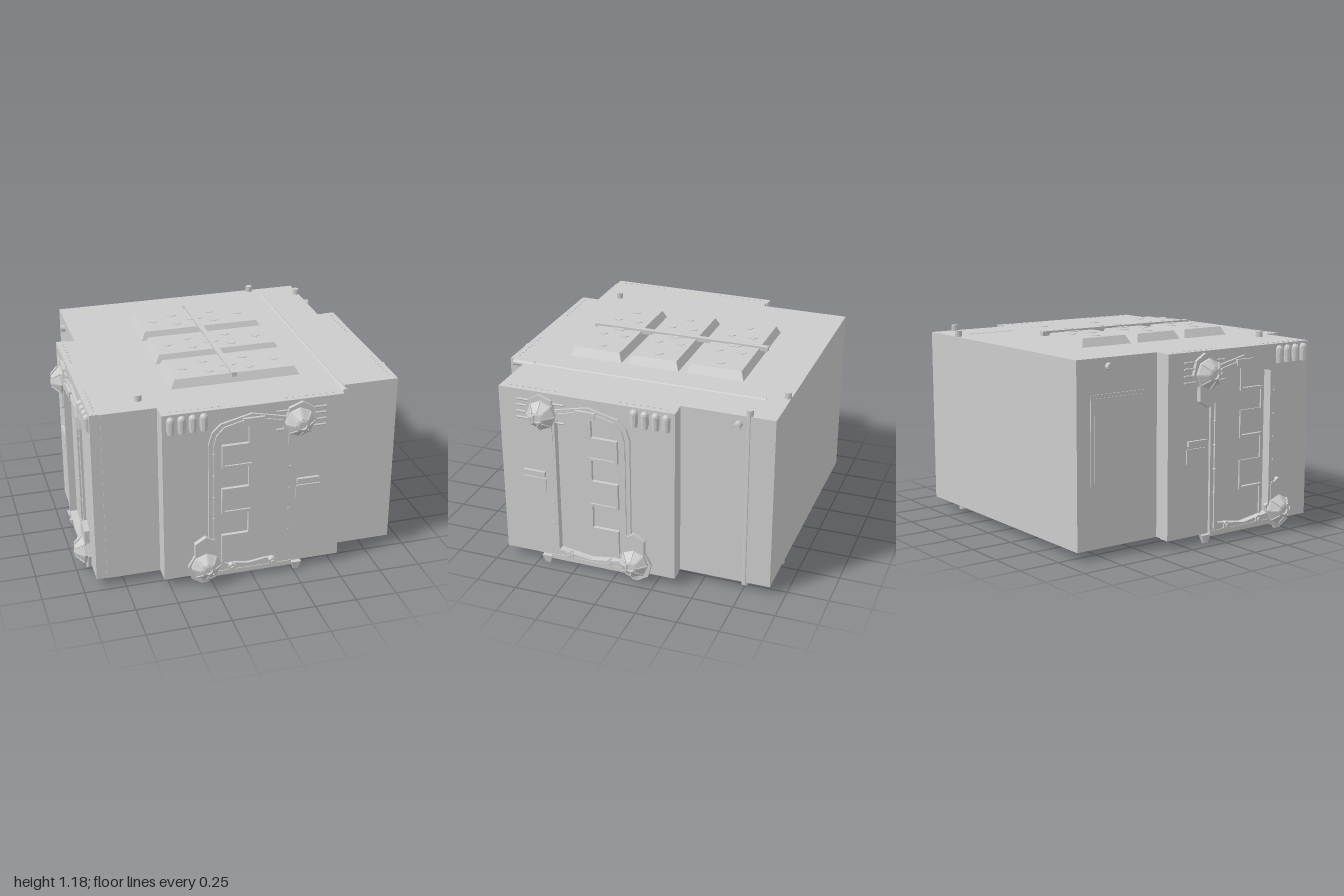
import * as THREE from 'three';

const grey = new THREE.MeshStandardMaterial({ color: 0xcccccc, flatShading: true });
const Y0 = 0.06, Y1 = 1.13; // underside and roof heights

function add(parent, name, geo, x = 0, y = 0, z = 0) {
  const m = new THREE.Mesh(geo, grey);
  m.name = name;
  m.position.set(x, y, z);
  parent.add(m);
  return m;
}

// Box given by its limits on each axis
function block(parent, name, x0, x1, y0, y1, z0, z1) {
  return add(parent, name, new THREE.BoxGeometry(Math.abs(x1 - x0), y1 - y0, z1 - z0),
    (x0 + x1) / 2, (y0 + y1) / 2, (z0 + z1) / 2);
}

// Rod along an axis between a and b
function rod(parent, name, axis, a, b, r, p, q, sides = 10) {
  const g = new THREE.CylinderGeometry(r, r, b - a, sides), c = (a + b) / 2;
  if (axis === 'x') return add(parent, name, g.rotateZ(Math.PI / 2), c, p, q);
  if (axis === 'z') return add(parent, name, g.rotateX(Math.PI / 2), p, q, c);
  return add(parent, name, g, p, c, q);
}

const outer = [[-0.27, 0.07], [-0.27, 0.92], [-0.25, 0.99], [-0.2, 1.04], [-0.015, 1.085],
  [0.185, 1.04], [0.22, 0.99], [0.24, 0.92], [0.24, 0.07]];
const inner = [[-0.21, 0.12], [-0.21, 0.98], [-0.015, 1.02], [0.185, 0.98], [0.185, 0.12], [-0.015, 0.09]];
// Stepped joint between the two halves of the door
const joint = [[-0.015, 1.02], [-0.015, 0.88], [-0.175, 0.88], [-0.175, 0.75], [-0.015, 0.75], [-0.015, 0.6],
  [-0.175, 0.6], [-0.175, 0.45], [-0.015, 0.45], [-0.015, 0.29], [-0.175, 0.29], [-0.175, 0.113]];

// Door wall: local z = 0 is its outer face; s = -1 mirrors it left to right
function doorWall(name, s) {
  const g = new THREE.Group();
  g.name = name;
  const pts = a => a.map(([u, y]) => new THREE.Vector2(u * s, y));
  const slabOf = (part, outline, z0, z1, hole) => {
    const shape = new THREE.Shape(pts(outline));
    if (hole) shape.holes.push(new THREE.Path(pts(hole)));
    add(g, part, new THREE.ExtrudeGeometry(shape, { depth: z1 - z0, bevelEnabled: false }), 0, 0, z0);
  };
  const box = (part, u0, u1, y0, y1, z0, z1) => block(g, part, u0 * s, u1 * s, y0, y1, z0, z1);

  slabOf('wallPanel', [[-0.535, Y0], [-0.535, Y1], [0.54, Y1], [0.54, Y0]], -0.065, 0, inner);
  slabOf('doorFrame', outer, 0, 0.015, inner);
  slabOf('doorRim', outer.map(([u, y]) => [(u + 0.015) * 0.9 - 0.015, 0.56 + (y - 0.56) * 0.965]), 0.015, 0.025, inner);
  slabOf('doorLeaf', inner, -0.06, -0.03);
  slabOf('doorToothedHalf', [...joint, [-0.015, 0.09], [0.185, 0.12], [0.185, 0.98]], -0.03, -0.018);

  // Raised strip following the joint
  for (let i = 0; i < joint.length - 1; i++) {
    const [a, b] = joint[i], [c, d] = joint[i + 1], w = 0.008;
    box('jointStrip', Math.min(a, c) - w, Math.max(a, c) + w, Math.min(b, d) - w, Math.max(b, d) + w, -0.03, -0.008);
  }

  // Door furniture
  box('doorPlaque', -0.07, 0.055, 1.03, 1.065, 0.01, 0.032);
  box('handleBar', 0.265, 0.4, 0.592, 0.622, 0, 0.018);
  box('controlPlate', 0.262, 0.408, 0.49, 0.575, 0, 0.008);
  box('threshold', -0.25, 0.24, 0.045, 0.075, -0.06, 0.02);
  for (const u of [-0.13, 0.12]) {
    rod(g, 'thresholdBolt', 'z', 0, 0.032, 0.026, u * s, 0.092, 6);
    rod(g, 'thresholdBoltTip', 'z', 0.03, 0.042, 0.013, u * s, 0.092, 6);
  }
  for (let i = 0; i < 5; i++) for (const u of [-0.24, 0.213])
    rod(g, 'frameRivet', 'z', 0.01, 0.03, 0.008, u * s, 0.3 + i * 0.14, 6);

  // Row of capsule vents
  for (let i = 0; i < 4; i++) {
    const u = (-0.487 + i * 0.064) * s;
    rod(g, 'vent', 'y', 1.035, 1.095, 0.024, u, 0.004);
    add(g, 'ventCap', new THREE.SphereGeometry(0.024, 10, 6), u, 1.095, 0.004);
    rod(g, 'ventBase', 'y', 1.015, 1.035, 0.02, u, 0.004);
  }

  // Corner bolts with shield plates
  for (const [u, y, d] of [[0.265, 1.0, -1], [-0.29, 0.13, 1]]) {
    const shield = [[-0.065, 0], [-0.065, 0.155], [0, 0.195], [0.065, 0.155], [0.065, 0]];
    slabOf('boltShield', shield.map(([a, b]) => [u + a, y + b * d]), 0, 0.03);
    slabOf('boltCollar', [[-0.095, 0.03], [-0.06, -0.09], [0.02, -0.12], [0.085, -0.08], [0.105, 0], [0.06, 0.08], [-0.03, 0.09]]
      .map(([a, b]) => [u - a * d, y + b * d]), 0, 0.02);
    const dome = [[0.09, 0.01], [0.088, 0.035], [0.04, 0.08], [0.026, 0.085], [0.022, 0.075], [0, 0.075]]
      .map(p => new THREE.Vector2(...p));
    add(g, 'boltDome', new THREE.LatheGeometry(dome, 8).rotateX(Math.PI / 2), u * s, y, 0);
    for (let i = 0; i < 8; i++) {
      const spoke = add(g, 'boltRib', new THREE.BoxGeometry(0.062, 0.008, 0.01)
        .rotateY(Math.atan2(0.045, 0.048)).translate(0.064, 0, 0.058), u * s, y, 0);
      spoke.rotation.z = i * Math.PI / 4 + Math.PI / 2;
    }
  }
  for (const y of [1.072, 1.035, 0.995, 0.957]) rod(g, 'boltRod', 'x', (s > 0 ? 0.13 : -0.43), (s > 0 ? 0.43 : -0.13), 0.006, y, 0.006, 6);

  // Wedge feet under the wall
  for (const u of [0.27, -0.29]) for (const z of [0.01, -0.15]) {
    const foot = add(g, 'wedgeFoot', new THREE.CylinderGeometry(0.045, 0.022, 0.05, 4).rotateY(Math.PI / 4), u * s, 0.035, z);
    foot.scale.z = 0.55;
  }

  // Rivets along the roof edge
  for (let i = 0; i < 16; i++) {
    const u = i < 8 ? -0.48 + i * 0.04 : 0.2 + (i - 8) * 0.04;
    rod(g, 'edgeRivet', 'y', Y1 - 0.01, Y1 + 0.004, 0.006, u * s, -0.035, 6);
  }
  return g;
}

// Roof panel with sloping sides
function roofPanel(parent, z0, z1) {
  const geo = new THREE.BoxGeometry(0.78, 0.05, z1 - z0 + 0.02), p = geo.attributes.position;
  for (let i = 0; i < p.count; i++) if (p.getY(i) > 0) {
    p.setX(i, p.getX(i) - Math.sign(p.getX(i)) * 0.028);
    p.setZ(i, p.getZ(i) - Math.sign(p.getZ(i)) * 0.022);
  }
  const zc = (z0 + z1) / 2;
  add(parent, 'roofPanel', geo, -0.01, Y1 + 0.025, zc);
  const studs = [[-0.29, 0, 0.03], [-0.15, -0.07, 0.03], [-0.15, 0.07, 0.03], [-0.02, 0, 0.055],
    [0.095, -0.07, 0.03], [0.095, 0.07, 0.03], [0.27, 0, 0.03]];
  for (const [x, z, r] of studs) rod(parent, 'roofStud', 'y', Y1 + 0.045, Y1 + 0.053, r, x, zc + z, 6);
}

export function createModel() {
  const model = new THREE.Group();
  model.name = 'shelterModule';

  // Main body
  block(model, 'rearBody', -0.803, 0.807, Y0, Y1, -0.91, -0.36);
  block(model, 'middleBody', -0.857, 0.855, Y0, Y1, -0.36, 0.71);
  block(model, 'frontBody', -0.535, 0.54, Y0, Y1, 0.71, 0.758);

  // Three door walls
  const front = doorWall('frontDoorWall', 1);
  front.position.z = 0.82;
  const left = doorWall('leftDoorWall', -1);
  left.position.set(0.915, 0, 0.17);
  left.rotation.y = Math.PI / 2;
  const right = doorWall('rightDoorWall', -1);
  right.position.set(-0.917, 0, 0.17);
  right.rotation.y = -Math.PI / 2;
  model.add(front, left, right);

  // Roof panels and spine
  for (const [a, b] of [[-0.58, -0.25], [-0.18, 0.12], [0.18, 0.49]]) roofPanel(model, a, b);
  block(model, 'roofSpine', -0.036, -0.004, 1.165, 1.192, -0.62, 0.5);

  // Long roof rail
  rod(model, 'roofRail', 'z', -0.78, 0.65, 0.014, 0.56, 1.122);
  rod(model, 'roofRailEnd', 'z', 0.65, 0.785, 0.02, 0.56, 1.12);

  // Vertical and sideways pins
  for (const [x, z] of [[-0.614, 0.585], [0.5, -0.89], [0.79, -0.755]]) rod(model, 'pin', 'y', 0.04, 1.166, 0.021, x, z);
  rod(model, 'leftPin', 'x', 0.78, 0.86, 0.021, 1.08, -0.7);
  rod(model, 'rightPin', 'x', -0.832, -0.78, 0.021, 1.08, -0.7);

  // Side hatch and underside fittings
  block(model, 'sideHatch', -0.809, -0.8, 0.42, 0.93, -0.82, -0.44);
  block(model, 'sideHatchInset', -0.813, -0.8, 0.44, 0.91, -0.8, -0.46);
  block(model, 'underPanel', -0.56, 0.55, 0.045, 0.07, -0.09, 0.52);
  block(model, 'underStrip', -0.61, 0.7, 0.048, 0.07, 0.59, 0.61);
  return model;
}
